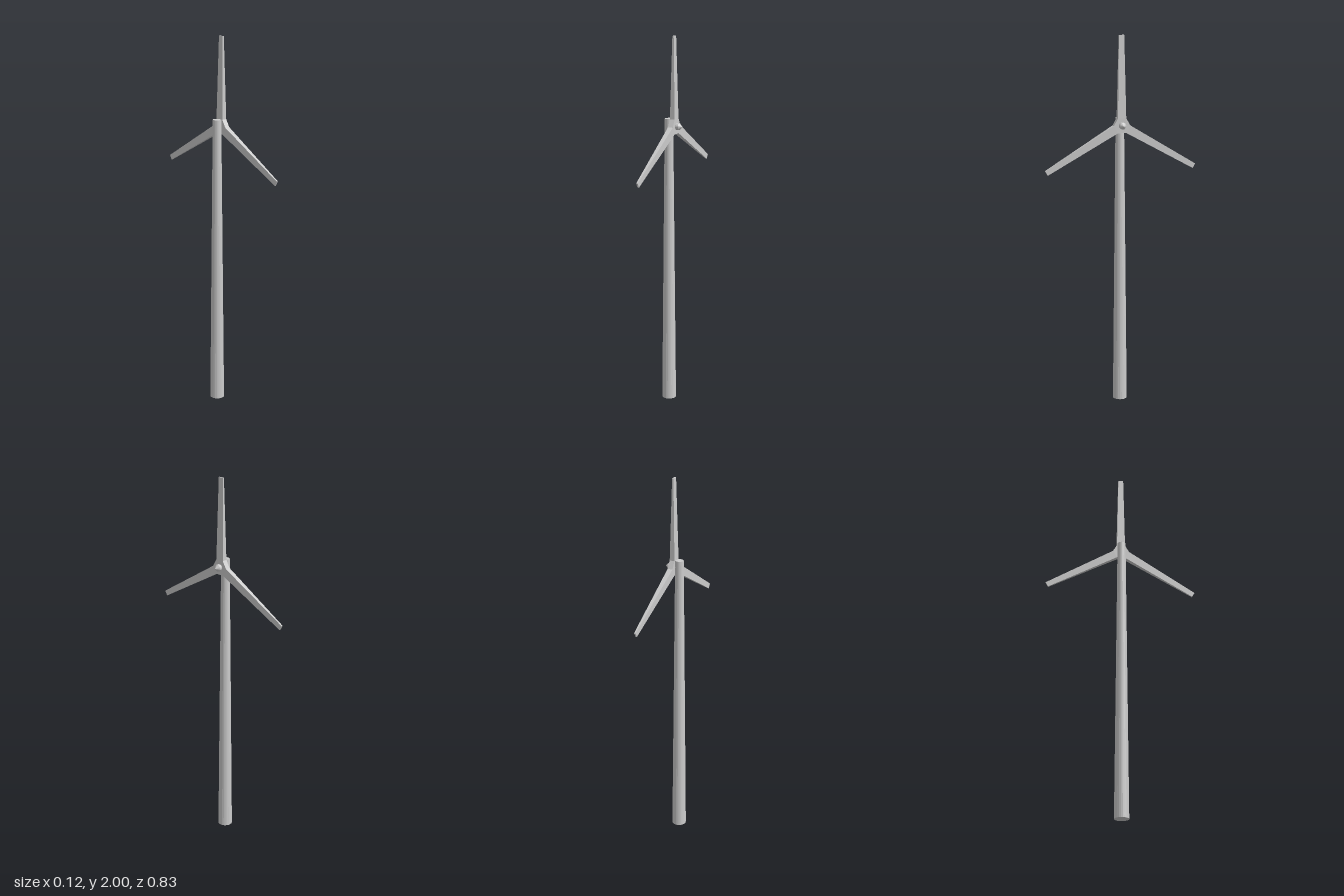
import * as THREE from 'three';

const HUB_Y = 1.531, ROTOR_X = 0.01;
const ROOT = 0.038, TIP = 2 - HUB_Y; // blade start and end, measured from the hub axis

const material = new THREE.MeshStandardMaterial({ color: 0xcccccc, flatShading: true, side: THREE.DoubleSide });

function part(name, geometry, parent) {
  const mesh = new THREE.Mesh(geometry, material);
  mesh.name = name;
  parent.add(mesh);
  return mesh;
}

// Cylinder lying along x, from x0 to x1
function axle(r0, r1, x0, x1, sides) {
  return new THREE.CylinderGeometry(r1, r0, x1 - x0, sides)
    .rotateZ(-Math.PI / 2)
    .translate((x0 + x1) / 2, 0, 0);
}

// Box narrowing from root to tip in both thickness (x) and width (z)
function bladeGeometry() {
  const g = new THREE.BoxGeometry(1, TIP - ROOT, 1).translate(0, (TIP + ROOT) / 2, 0);
  const p = g.attributes.position;
  for (let i = 0; i < p.count; i++) {
    const t = (p.getY(i) - ROOT) / (TIP - ROOT);
    p.setX(i, p.getX(i) * THREE.MathUtils.lerp(0.028, 0.008, t));
    p.setZ(i, p.getZ(i) * THREE.MathUtils.lerp(0.045, 0.028, t));
  }
  g.computeVertexNormals();
  return g;
}

export function createModel() {
  const model = new THREE.Group();
  model.name = 'windTurbine';

  // Tapered tower
  part('tower', new THREE.CylinderGeometry(0.0225, 0.0385, 1.57, 24), model)
    .position.set(-0.021, 0.785, 0);

  const rotor = new THREE.Group();
  rotor.name = 'rotor';
  rotor.position.y = HUB_Y;
  model.add(rotor);

  // Hexagonal hub plate, with a blade on every second side
  part('hub', axle(0.045, 0.045, ROTOR_X - 0.014, ROTOR_X + 0.014, 6), rotor);
  const blade = bladeGeometry();
  for (let i = 0; i < 3; i++) {
    const mesh = part('blade', blade, rotor);
    mesh.position.x = ROTOR_X;
    mesh.rotation.x = (i * Math.PI * 2) / 3;
  }

  // Shaft through the hub and its pointed nose
  part('shaft', axle(0.018, 0.018, -0.015, 0.04, 16), rotor);
  part('nose', axle(0.018, 0, 0.04, 0.058, 16), rotor);

  return model;
}
